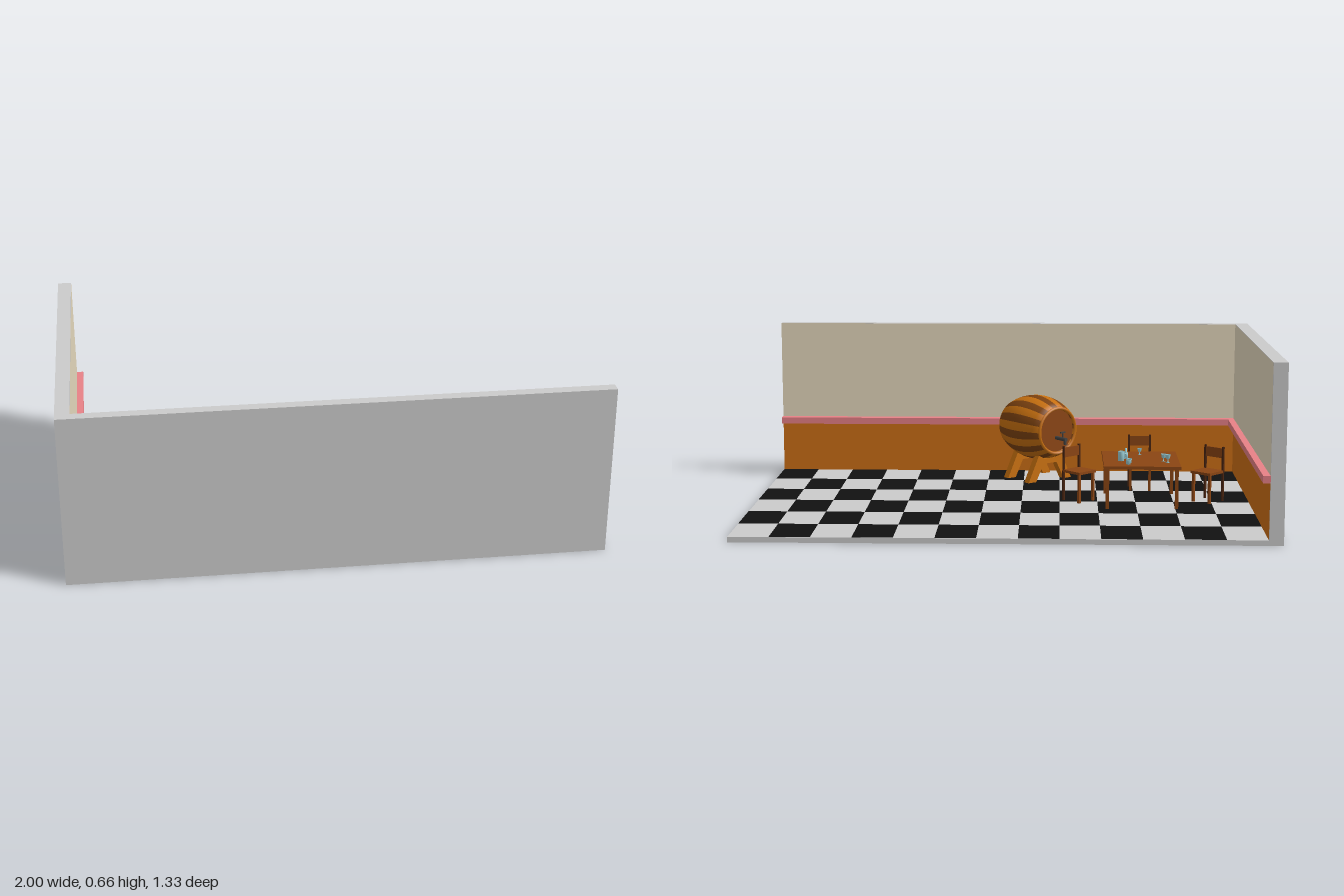
import * as THREE from 'three';

const mat = (color, extra = {}) => new THREE.MeshStandardMaterial({ color, ...extra });
const M = {
  grey: mat(0xcccccc),
  black: mat(0x111111),
  cream: mat(0xe7dabf),
  panel: mat(0xcd6f15),
  rail: mat(0xe88187),
  wood: mat(0x8b4513),
  darkWood: mat(0x4a2510),
  staveLight: mat(0xc8700f, { side: THREE.DoubleSide }),
  staveDark: mat(0x7d4210, { side: THREE.DoubleSide }),
  metal: mat(0x444444),
  glass: mat(0x9fd4dc, { side: THREE.DoubleSide }),
};

function add(parent, name, geometry, material, x = 0, y = 0, z = 0) {
  const mesh = new THREE.Mesh(geometry, material);
  mesh.name = name;
  mesh.position.set(x, y, z);
  parent.add(mesh);
  return mesh;
}

// Box given by its min and max corners
function box(parent, name, material, [x0, y0, z0], [x1, y1, z1]) {
  const g = new THREE.BoxGeometry(x1 - x0, y1 - y0, z1 - z0);
  return add(parent, name, g, material, (x0 + x1) / 2, (y0 + y1) / 2, (z0 + z1) / 2);
}

function group(parent, name, x = 0, y = 0, z = 0, turn = 0) {
  const g = new THREE.Group();
  g.name = name;
  g.position.set(x, y, z);
  g.rotation.y = turn;
  parent.add(g);
  return g;
}

const FLOOR = 0.02, TOP = 0.66, WX = -0.947, WZ = 0.623, BACK = -0.667;

function buildRoom(root) {
  const room = group(root, 'room');
  box(room, 'floor', M.grey, [-1, 0, BACK], [1, FLOOR, 0.665]);
  box(room, 'sideWall', M.grey, [-1, FLOOR, BACK], [WX, TOP, 0.665]);
  box(room, 'frontWall', M.grey, [WX, FLOOR, WZ], [1, TOP, 0.665]);

  // Painted wall faces: wainscot below, plaster above
  for (const [name, m, y0, y1] of [['wainscot', M.panel, FLOOR, 0.24], ['plaster', M.cream, 0.24, TOP]]) {
    const h = y1 - y0, y = (y0 + y1) / 2;
    add(room, name + 'Side', new THREE.PlaneGeometry(WZ - BACK, h), m, WX + 0.001, y, (WZ + BACK) / 2)
      .rotation.y = Math.PI / 2;
    add(room, name + 'Front', new THREE.PlaneGeometry(1 - WX, h), m, (1 + WX) / 2, y, WZ - 0.001)
      .rotation.y = Math.PI;
  }
  box(room, 'railSide', M.rail, [WX, 0.228, BACK], [-0.92, 0.255, WZ]);
  box(room, 'railFront', M.rail, [WX, 0.228, 0.583], [1, 0.255, WZ]);

  // Black squares of the chequered floor
  const cols = 13, rows = 6, w = (1 - WX) / cols, d = (WZ - BACK) / rows;
  const tile = new THREE.PlaneGeometry(w, d).rotateX(-Math.PI / 2);
  for (let i = 0; i < cols; i++)
    for (let j = 0; j < rows; j++)
      if ((i + j) % 2) add(room, 'blackTile', tile, M.black, WX + (i + 0.5) * w, FLOOR + 0.001, BACK + (j + 0.5) * d);
}

function buildTable(root) {
  const table = group(root, 'table', -0.518, 0, -0.001);
  box(table, 'tableTop', M.wood, [-0.149, 0.178, -0.165], [0.149, 0.19, 0.165]);
  for (const sx of [-1, 1])
    for (const sz of [-1, 1])
      add(table, 'tableLeg', new THREE.BoxGeometry(0.013, 0.158, 0.013), M.wood, sx * 0.134, 0.099, sz * 0.149);
}

// Chair with its back towards local +z
function buildChair(root, x, z, turn) {
  const chair = group(root, 'chair', x, 0, z, turn);
  box(chair, 'seat', M.wood, [-0.047, 0.134, -0.047], [0.047, 0.144, 0.047]);
  box(chair, 'backrest', M.wood, [-0.04, 0.193, 0.041], [0.04, 0.232, 0.047]);
  for (const s of [-1, 1]) {
    box(chair, 'frontLeg', M.wood, [s * 0.039 - 0.005, FLOOR, -0.043], [s * 0.039 + 0.005, 0.134, -0.033]);
    box(chair, 'backPost', M.darkWood, [s * 0.043 - 0.004, FLOOR, 0.04], [s * 0.043 + 0.004, 0.238, 0.048]);
  }
}

function buildBarrel(root) {
  const barrel = group(root, 'barrel', -0.105, 0, 0.472, 0.685);
  const H = 0.133, Y = 0.238;
  const body = group(barrel, 'barrelBody', 0, Y, 0);
  body.rotation.x = Math.PI / 2;

  // Alternating staves, each a slice of one bulging profile with a rim
  const side = [];
  for (let i = 0; i <= 10; i++) {
    const t = -1 + i / 5;
    side.push(new THREE.Vector2(0.135 - 0.033 * t * t, t * H));
  }
  const profile = [
    new THREE.Vector2(0.088, -H + 0.015), new THREE.Vector2(0.088, -H), ...side,
    new THREE.Vector2(0.088, H), new THREE.Vector2(0.088, H - 0.015),
  ];
  const staves = 24, step = (Math.PI * 2) / staves;
  for (let i = 0; i < staves; i++)
    add(body, 'stave', new THREE.LatheGeometry(profile, 2, i * step, step), i % 2 ? M.staveDark : M.staveLight);
  const lid = new THREE.CylinderGeometry(0.089, 0.089, 0.01, 32);
  add(body, 'frontHead', lid, M.wood, 0, -H + 0.013, 0);
  add(body, 'rearHead', lid, M.staveLight, 0, H - 0.013, 0);
  for (const s of [-1, 1])
    add(body, 'headRim', new THREE.TorusGeometry(0.095, 0.007, 6, 32).rotateX(Math.PI / 2), M.staveLight, 0, s * H, 0);

  // Tap on the front head
  const tap = group(barrel, 'tap', 0, Y - 0.03, -H);
  add(tap, 'tapPipe', new THREE.CylinderGeometry(0.008, 0.008, 0.07, 12).rotateX(Math.PI / 2), M.metal, 0, 0, -0.022);
  add(tap, 'tapSpout', new THREE.CylinderGeometry(0.007, 0.007, 0.022, 12), M.metal, 0, -0.01, -0.05);
  add(tap, 'tapKey', new THREE.CylinderGeometry(0.004, 0.004, 0.024, 8), M.metal, 0, 0.015, -0.035);
  add(tap, 'tapHandle', new THREE.BoxGeometry(0.024, 0.006, 0.006), M.metal, 0, 0.028, -0.035);

  // Two splayed cradles, cut away between the feet
  const cradle = new THREE.Shape([
    [-0.115, FLOOR], [-0.075, FLOOR], [-0.035, 0.095], [0.035, 0.095], [0.075, FLOOR],
    [0.115, FLOOR], [0.06, 0.132], [0.03, 0.117], [-0.03, 0.117], [-0.06, 0.132],
  ].map(([x, y]) => new THREE.Vector2(x, y)));
  const cradleGeo = new THREE.ExtrudeGeometry(cradle, { depth: 0.03, bevelEnabled: false });
  for (const s of [-1, 1]) add(barrel, 'cradle', cradleGeo, M.staveLight, 0, 0, s * 0.07 - 0.015);
}

function buildGlassware(root) {
  const set = group(root, 'glassware', 0, 0.19, 0);
  const lathe = (pts) => new THREE.LatheGeometry(pts.map(([r, y]) => new THREE.Vector2(r, y)), 16);
  const goblet = lathe([[0, 0], [0.009, 0.001], [0.002, 0.004], [0.002, 0.014], [0.008, 0.019], [0.011, 0.034]]);
  const tumbler = lathe([[0, 0], [0.008, 0], [0.01, 0.018]]);
  const mug = lathe([[0, 0], [0.012, 0], [0.012, 0.038], [0.01, 0.038], [0.01, 0.032], [0, 0.032]]);
  const bottle = lathe([[0, 0], [0.009, 0], [0.009, 0.022], [0.004, 0.03], [0.004, 0.042], [0, 0.042]]);
  for (const [x, z, s] of [[-0.518, 0.085, 0.8], [-0.605, -0.057, 0.9], [-0.62, -0.085, 1]])
    add(set, 'goblet', goblet, M.glass, x, 0, z).scale.setScalar(s);
  add(set, 'tumbler', tumbler, M.glass, -0.465, 0, -0.12);
  add(set, 'tumbler', tumbler, M.glass, -0.47, 0, -0.09);
  add(set, 'bottle', bottle, M.glass, -0.46, 0, 0);
  add(set, 'mug', mug, M.glass, -0.44, 0, -0.043);
  add(set, 'mugHandle', new THREE.TorusGeometry(0.01, 0.0025, 6, 12), M.glass, -0.453, 0.019, -0.043);
}

export function createModel() {
  const root = new THREE.Group();
  root.name = 'tavernRoom';
  buildRoom(root);
  buildTable(root);
  buildChair(root, -0.527, 0.243, 0);
  buildChair(root, -0.783, 0.002, -0.72);
  buildChair(root, -0.276, 0.004, 0.785);
  buildBarrel(root);
  buildGlassware(root);
  return root;
}
